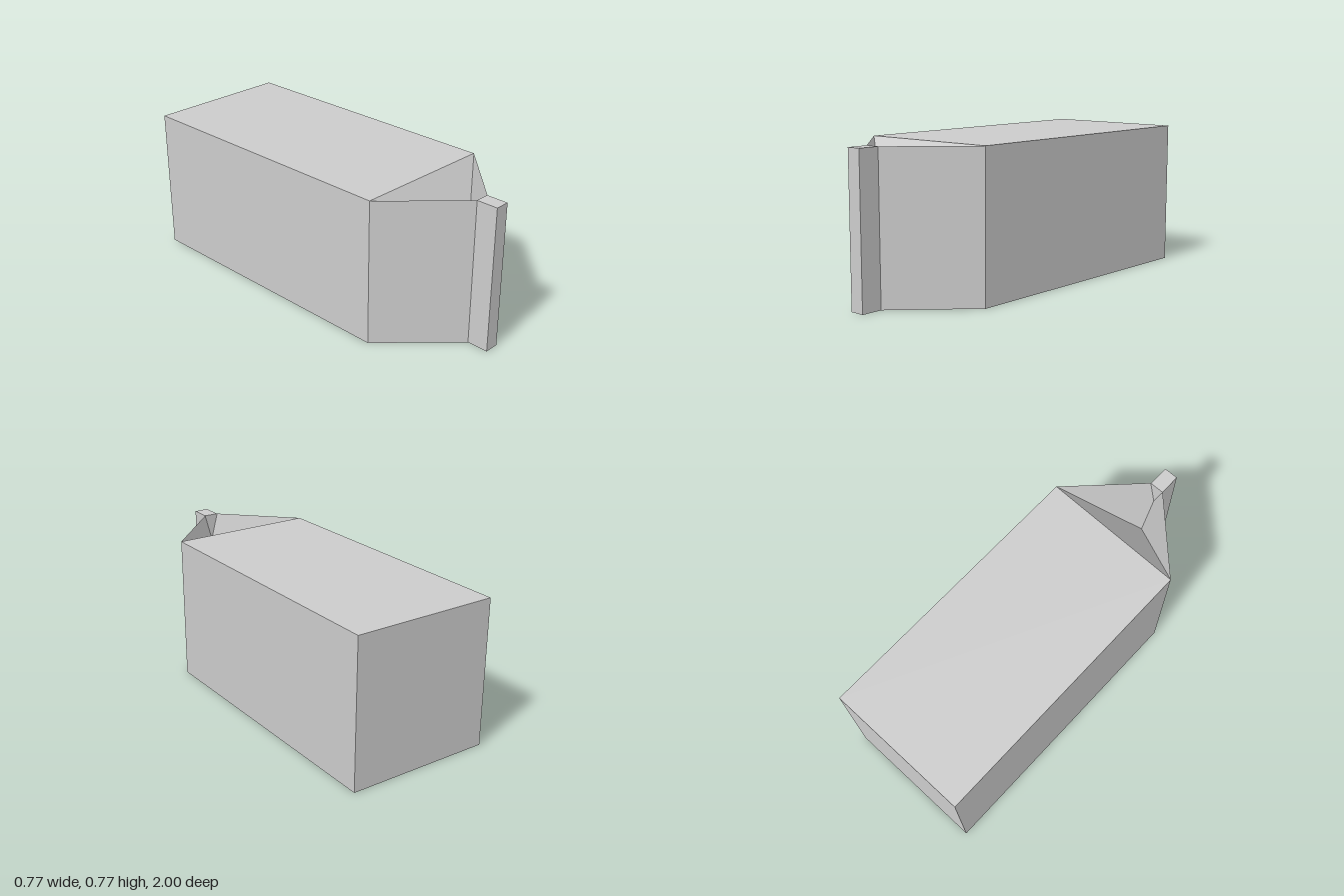
import * as THREE from 'three';

const W = 0.385, H = 0.77, SHOULDER = 0.54, TIP = 0.925;

function block(name, width, zBack, zFront, material) {
  const mesh = new THREE.Mesh(new THREE.BoxGeometry(width, H, zFront - zBack), material);
  mesh.position.set(0, H / 2, (zBack + zFront) / 2);
  mesh.name = name;
  return mesh;
}

// Wedge with upright sides whose top and bottom sink to one inner point
function noseGeometry() {
  const ring = y => [[-W, y, SHOULDER], [0, y, TIP], [W, y, SHOULDER]];
  const top = ring(H), bottom = ring(0);
  const hub = [0, H / 2, 0.82];
  const corners = [];
  for (let i = 0; i < 3; i++) {
    const j = (i + 1) % 3;
    corners.push(top[i], top[j], hub, bottom[j], bottom[i], hub);
    // upright outer walls; the third side is closed by the body
    if (i < 2) corners.push(bottom[i], bottom[j], top[j], bottom[i], top[j], top[i]);
  }
  const geometry = new THREE.BufferGeometry();
  geometry.setAttribute('position', new THREE.Float32BufferAttribute(corners.flat(), 3));
  geometry.computeVertexNormals();
  return geometry;
}

export function createModel() {
  const material = new THREE.MeshStandardMaterial({ color: 0xcccccc, flatShading: true });
  const model = new THREE.Group();
  model.name = 'model';

  // Long main body
  model.add(block('body', 2 * W, -1, SHOULDER, material));

  // Tapered front with hollowed top and bottom
  const nose = new THREE.Mesh(noseGeometry(), material);
  nose.name = 'nose';
  model.add(nose);

  // Narrow upright bar at the tip
  model.add(block('frontBar', 0.077, 0.885, 1, material));
  return model;
}
